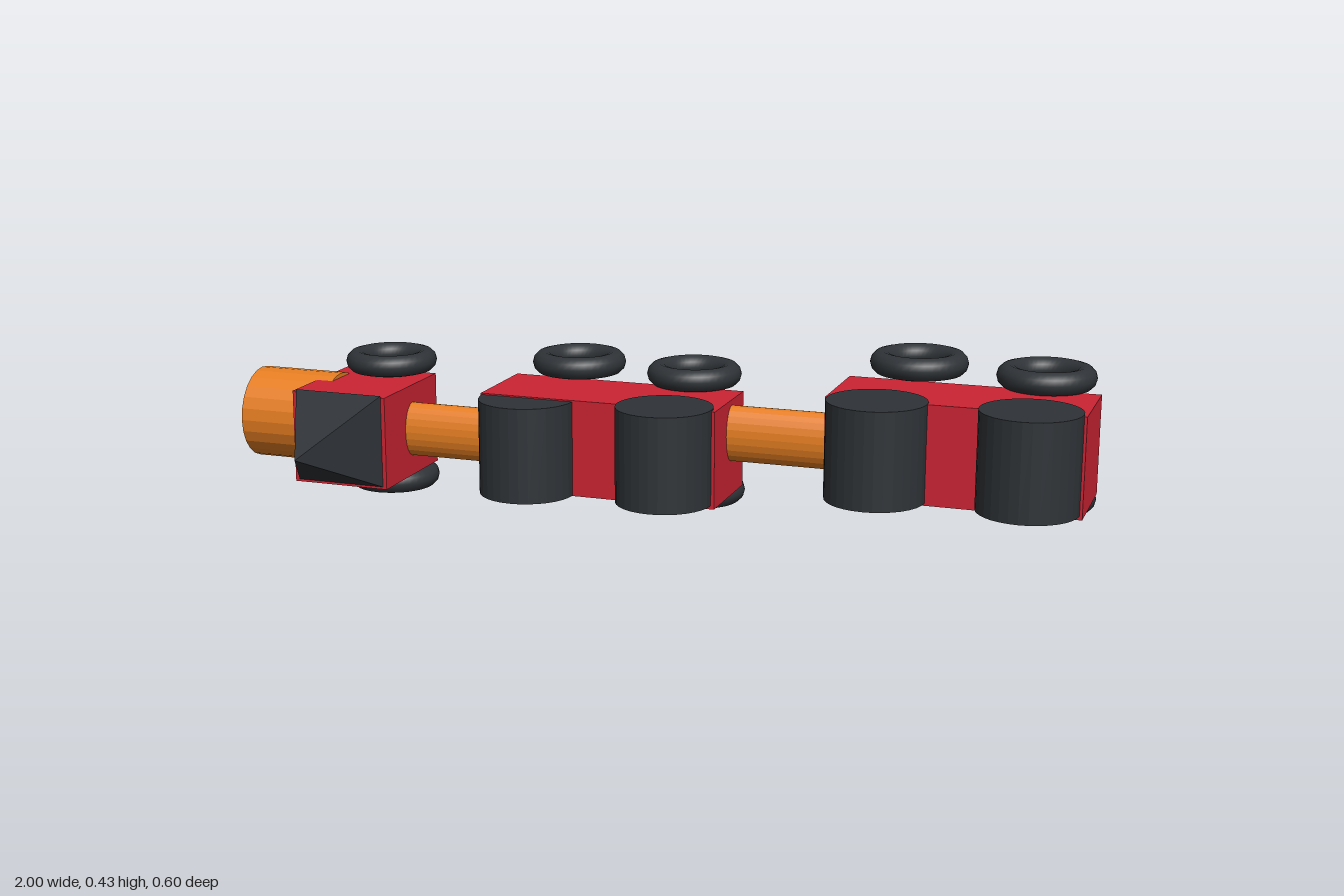
import * as THREE from 'three';

const paint = (color) => new THREE.MeshStandardMaterial({ color, flatShading: true });

export function createModel() {
  const red = paint(0xcc2433), orange = paint(0xe67e22), dark = paint(0x2f3337);
  const rubber = new THREE.MeshStandardMaterial({ color: 0x2f3337 });
  const model = new THREE.Group();
  model.name = 'train';

  const add = (parent, name, geometry, material, x, y, z) => {
    const mesh = new THREE.Mesh(geometry, material);
    mesh.name = name;
    mesh.position.set(x, y, z);
    parent.add(mesh);
    return mesh;
  };
  const section = (name) => {
    const group = new THREE.Group();
    group.name = name;
    model.add(group);
    return group;
  };

  // Rings lying flat above and below every body
  const ringGeometry = new THREE.TorusGeometry(0.083, 0.026, 12, 40).rotateX(Math.PI / 2);
  const ring = (parent, name, x, y) => add(parent, name, ringGeometry, rubber, x, y, -0.192);

  // Engine: cab, round boiler and four-sided nose
  const engine = section('engine');
  add(engine, 'cab', new THREE.BoxGeometry(0.235, 0.217, 0.282), red, -0.711, 0.176, -0.058);
  add(engine, 'boiler', new THREE.CylinderGeometry(0.108, 0.108, 0.212, 24).rotateZ(Math.PI / 2),
    orange, -0.894, 0.187, -0.083);
  add(engine, 'nose',
    new THREE.ConeGeometry(0.108 * Math.SQRT2, 0.218, 4).rotateY(Math.PI / 4).rotateX(Math.PI / 2),
    dark, -0.711, 0.181, 0.192);
  ring(engine, 'upperRing', -0.706, 0.312);
  ring(engine, 'lowerRing', -0.706, 0.026);

  // Cars: box body, two upright drums in front, rings as [x, y]
  const bodyGeometry = new THREE.BoxGeometry(0.555, 0.221, 0.216);
  const drumGeometry = new THREE.CylinderGeometry(0.109, 0.109, 0.217, 32);
  const cars = [
    {
      name: 'middleCar', x: -0.084, y: 0.2,
      drums: [[-0.249, 0.199], [0.077, 0.206]],
      upper: [[-0.219, 0.343], [0.064, 0.335]],
      lower: [[-0.238, 0.071], [0.075, 0.061]],
    },
    {
      name: 'rearCar', x: 0.7175, y: 0.254,
      drums: [[0.553, 0.257], [0.88, 0.261]],
      upper: [[0.588, 0.399], [0.87, 0.388]],
      lower: [[0.564, 0.127], [0.88, 0.117]],
    },
  ];
  for (const { name, x, y, drums, upper, lower } of cars) {
    const car = section(name);
    add(car, 'body', bodyGeometry, red, x, y, -0.046);
    drums.forEach(([dx, dy]) => add(car, 'drum', drumGeometry, dark, dx, dy, 0.062));
    upper.forEach(([rx, ry]) => ring(car, 'upperRing', rx, ry));
    lower.forEach(([rx, ry]) => ring(car, 'lowerRing', rx, ry));
  }

  // Oval couplings between the sections
  const couplingGeometry = new THREE.CylinderGeometry(1, 1, 0.27, 24).rotateZ(Math.PI / 2);
  for (const [x, y] of [[-0.477, 0.179], [0.317, 0.234]]) {
    add(model, 'coupling', couplingGeometry, orange, x, y, -0.065).scale.set(1, 0.064, 0.04);
  }
  return model;
}
